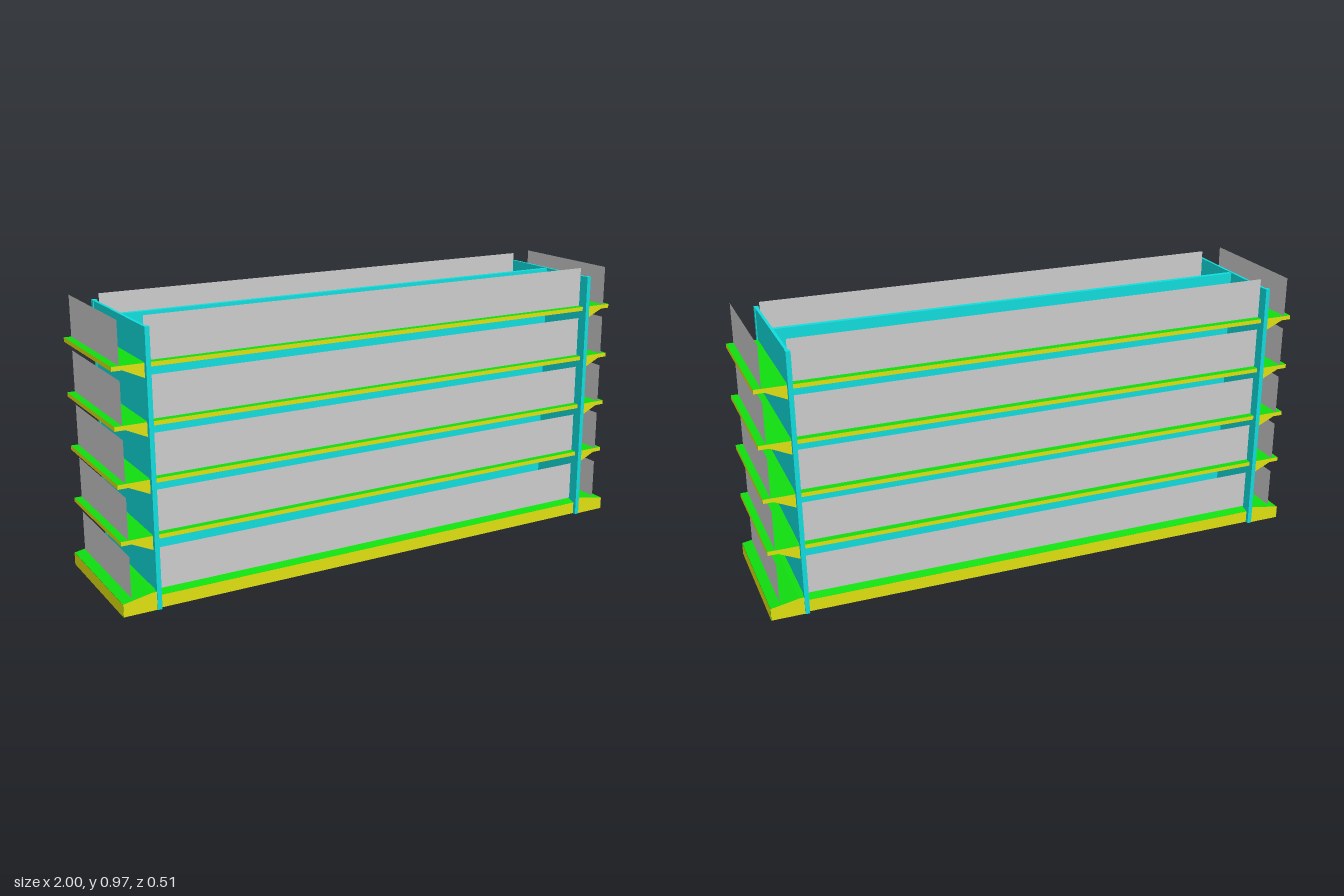
import * as THREE from 'three';

const paint = (color) => new THREE.MeshStandardMaterial({ color, side: THREE.DoubleSide });
const grey = paint(0xcccccc), green = paint(0x10dd10), yellow = paint(0xe0e010), cyan = paint(0x10dddd);

function add(parent, name, geometry, material, x = 0, y = 0, z = 0) {
  const mesh = new THREE.Mesh(geometry, material);
  mesh.name = name;
  mesh.position.set(x, y, z);
  parent.add(mesh);
  return mesh;
}

// Profile given as [outward, up] pairs, extruded along x and centred; outward is +z
function extrudeAlongX(points, length) {
  const shape = new THREE.Shape(points.map(([z, y]) => new THREE.Vector2(-z, y)));
  const geometry = new THREE.ExtrudeGeometry(shape, { depth: length, bevelEnabled: false });
  return geometry.translate(0, 0, -length / 2).rotateY(Math.PI / 2);
}

// Shelf board with a yellow rim, carried by a tapered bracket at each end
function shelf(length, depth) {
  const group = new THREE.Group();
  group.name = 'shelf';
  const t = 0.015;
  add(group, 'shelfBoard', new THREE.BoxGeometry(length, t, depth),
    [yellow, yellow, green, green, yellow, yellow], 0, -t / 2, depth / 2);
  const bracket = extrudeAlongX([[0, -t], [depth * 0.68, -t], [0, -0.05]], 0.01);
  for (const s of [-1, 1]) add(group, 'shelfBracket', bracket, [yellow, green], s * (length / 2 - 0.005));
  return group;
}

// Plinth with a top that slopes down to a yellow kick board
function plinth(length, depth, slope) {
  const group = new THREE.Group();
  group.name = 'plinth';
  const profile = [[0, 0], [depth, 0], [depth, 0.045], [depth - slope, 0.064], [0, 0.064]];
  add(group, 'plinthBody', extrudeAlongX(profile, length), [yellow, green]);
  add(group, 'kickBoard', new THREE.PlaneGeometry(length, 0.045), yellow, 0, 0.0225, depth + 0.001);
  return group;
}

// One face of the unit: plinth, four shelves and an upright goods panel on each level
function bay({ length, depth, plinthLength, plinthDepth, goodsDepth, goodsLength, slope }) {
  const group = new THREE.Group();
  group.add(plinth(plinthLength, plinthDepth, slope));
  const levels = [0.055, 0.255, 0.447, 0.638, 0.83];
  levels.forEach((y, i) => {
    if (i > 0) {
      const s = shelf(length, depth);
      s.position.y = y;
      group.add(s);
    }
    add(group, 'goodsPanel', new THREE.PlaneGeometry(goodsLength, 0.144), grey, 0, y + 0.072, goodsDepth);
  });
  return group;
}

export function createModel() {
  const model = new THREE.Group();
  model.name = 'displayShelving';

  // Central back panel
  add(model, 'centrePanel', new THREE.BoxGeometry(1.74, 0.943, 0.018), cyan, 0, 0.4715, 0);

  for (const s of [-1, 1]) {
    // End panel and its two posts
    add(model, 'endPanel', new THREE.BoxGeometry(0.01, 0.945, 0.474), cyan, s * 0.875, 0.4725, 0);
    for (const f of [-1, 1])
      add(model, 'post', new THREE.BoxGeometry(0.016, 0.947, 0.018), cyan, s * 0.875, 0.4735, f * 0.244);

    // Long side
    const side = bay({ length: 1.736, depth: 0.226, plinthLength: 1.736, plinthDepth: 0.23,
      goodsDepth: 0.2, goodsLength: 1.74, slope: 0.07 });
    side.name = s > 0 ? 'frontBay' : 'backBay';
    side.position.z = s * 0.009;
    side.rotation.y = s > 0 ? 0 : Math.PI;
    model.add(side);

    // Short end
    const end = bay({ length: 0.474, depth: 0.111, plinthLength: 0.5, plinthDepth: 0.119,
      goodsDepth: 0.085, goodsLength: 0.472, slope: 0.1 });
    end.name = s > 0 ? 'leftEndBay' : 'rightEndBay';
    end.position.x = s * 0.88;
    end.rotation.y = s * Math.PI / 2;
    model.add(end);
  }

  // The whole unit stands very slightly turned
  model.rotation.y = 0.005;
  return model;
}
